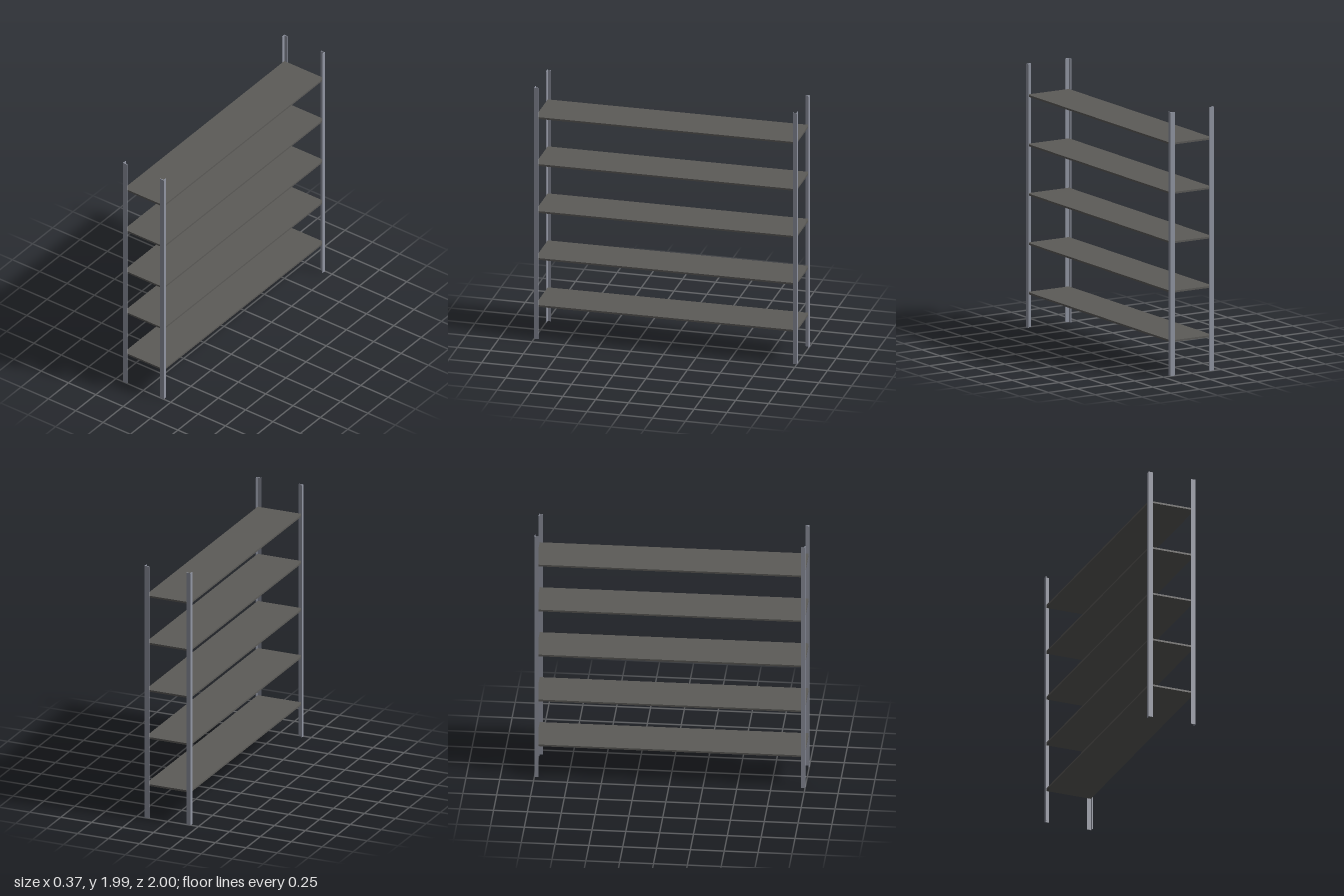
import * as THREE from 'three';

const POST_H = 1.986, HX = 0.187, HZ = 1.0; // post height and half extents
const FLANGE_X = 0.036, FLANGE_Z = 0.03, T = 0.006; // angle-iron profile
const SHELF_T = 0.014, SHELF_Y = 0.26, SHELF_STEP = 0.3717;

export function createModel() {
  const group = new THREE.Group();
  const steel = new THREE.MeshStandardMaterial({ color: 0x9296a3 });
  steel.name = 'post steel';
  const dark = new THREE.MeshStandardMaterial({ color: 0x5c5b58 });
  dark.name = 'shelf grey';

  function box(parent, name, material, size, position) {
    const mesh = new THREE.Mesh(new THREE.BoxGeometry(...size), material);
    mesh.name = name;
    mesh.position.set(...position);
    parent.add(mesh);
  }

  // L-shaped corner posts, open towards the middle of the rack
  for (const sx of [-1, 1]) {
    for (const sz of [-1, 1]) {
      const post = new THREE.Group();
      post.name = `${sz > 0 ? 'front' : 'back'}${sx > 0 ? 'Left' : 'Right'}Post`;
      box(post, 'endFlange', steel, [FLANGE_X, POST_H, T],
        [sx * (HX - FLANGE_X / 2), POST_H / 2, sz * (HZ - T / 2)]);
      box(post, 'sideFlange', steel, [T, POST_H, FLANGE_Z - T],
        [sx * (HX - T / 2), POST_H / 2, sz * (HZ - T - (FLANGE_Z - T) / 2)]);
      group.add(post);
    }
  }

  // Five shelves fitted inside the posts
  for (let i = 0; i < 5; i++) {
    box(group, `shelf${i + 1}`, dark, [2 * (HX - T), SHELF_T, 2 * (HZ - T)],
      [0, SHELF_Y + i * SHELF_STEP, 0]);
  }
  return group;
}
